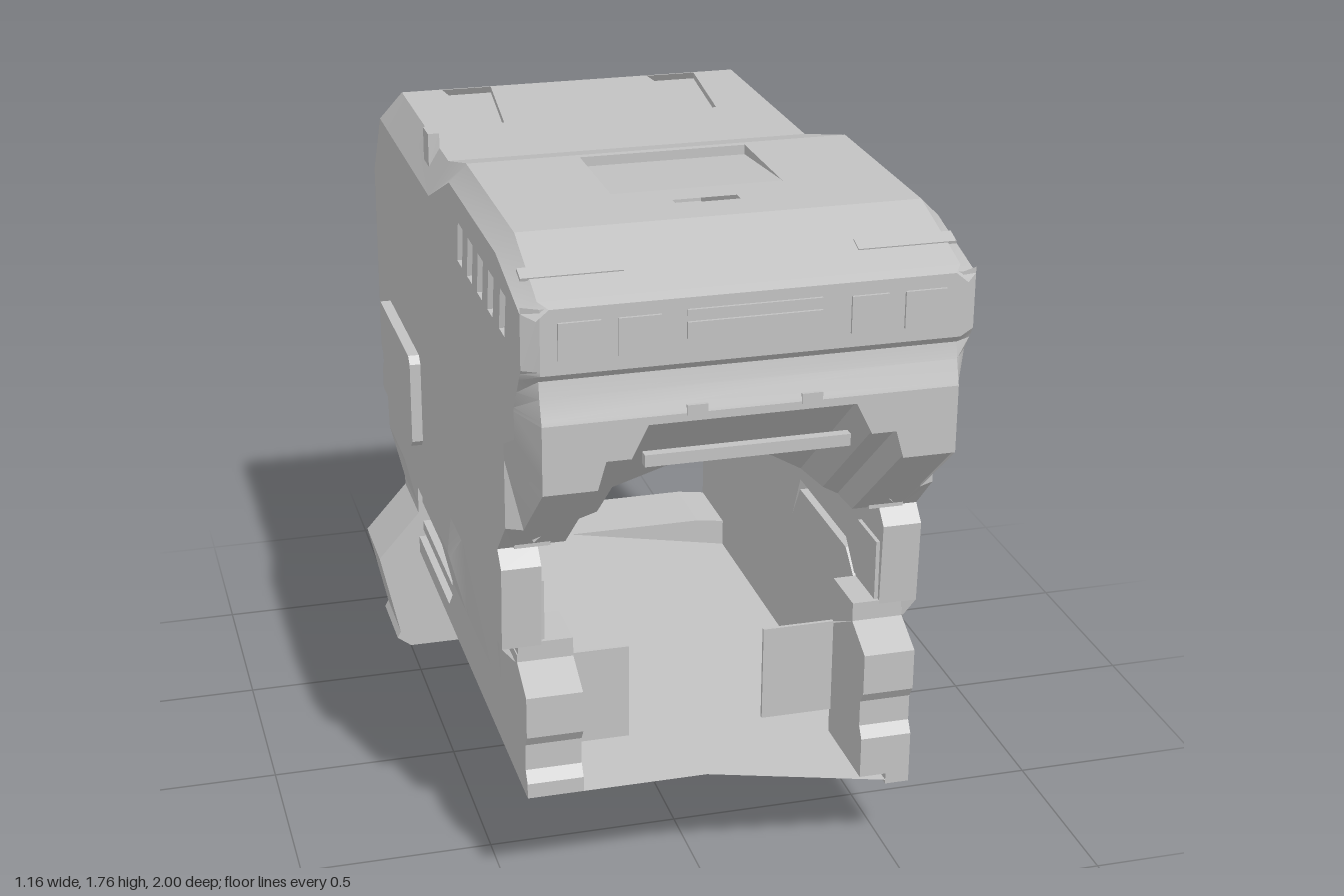
import * as THREE from 'three';
import { toCreasedNormals } from 'three/addons/utils/BufferGeometryUtils.js';

const CX = 0.04; // the body is symmetric about this x

export function createModel() {
  const model = new THREE.Group();
  const grey = new THREE.MeshStandardMaterial({ color: 0xc2c2c2, side: THREE.DoubleSide });

  const add = (name, geo) => {
    const mesh = new THREE.Mesh(geo, grey);
    mesh.name = name;
    model.add(mesh);
    return mesh;
  };
  const box = (name, x0, x1, y0, y1, z0, z1) =>
    add(name, new THREE.BoxGeometry(x1 - x0, y1 - y0, z1 - z0)
      .translate((x0 + x1) / 2, (y0 + y1) / 2, (z0 + z1) / 2));
  const shapeOf = (pts, holes = []) => {
    const s = new THREE.Shape(pts.map(p => new THREE.Vector2(...p)));
    s.holes = holes.map(h => new THREE.Path(h.map(p => new THREE.Vector2(...p))));
    return s;
  };
  // plate drawn as [x, y], from z0 to z1
  const plateXY = (pts, z0, z1) =>
    new THREE.ExtrudeGeometry(shapeOf(pts), { depth: z1 - z0, bevelEnabled: false }).translate(0, 0, z0);
  // plate drawn as [z, y], from x0 to x1
  const plateZY = (pts, x0, x1, holes = []) => {
    const flip = list => list.map(([z, y]) => [-z, y]);
    return new THREE.ExtrudeGeometry(shapeOf(flip(pts), holes.map(flip)), { depth: x1 - x0, bevelEnabled: false })
      .rotateY(Math.PI / 2).translate(x0, 0, 0);
  };
  // surface through rows of [x, y, z]
  const loft = (rows, crease = 0.5) => {
    const n = rows[0].length, index = [];
    for (let i = 0; i < rows.length - 1; i++)
      for (let j = 0; j < n - 1; j++) {
        const a = i * n + j, b = a + n;
        index.push(a, b, a + 1, a + 1, b, b + 1);
      }
    const g = new THREE.BufferGeometry();
    g.setAttribute('position', new THREE.Float32BufferAttribute(rows.flat(2), 3));
    g.setIndex(index);
    return toCreasedNormals(g, crease);
  };
  const rect = (a, b, c, d) => [[a, c], [b, c], [b, d], [a, d]];

  // Roof: [z, edge y, top y, chamfer width]
  const roof = [
    [1, 1.645, 1.67, 0.03], [0.97, 1.655, 1.68, 0.04], [0.72, 1.715, 1.76, 0.045], [0.17, 1.715, 1.76, 0.05],
    [-0.12, 1.59, 1.68, 0.055], [-0.8, 1.59, 1.68, 0.055], [-0.864, 1.59, 1.59, 0.005], [-1, 1.4, 1.4, 0],
  ];
  const half = z => (z === 1 ? 0.51 : 0.54);
  const groove = x => [[x - 0.07, 0.8], [x + 0.07, 0.8], [x + 0.03, 0.43], [x - 0.03, 0.43]];
  const cutouts = {
    2: [rect(-0.17, 0.26, -0.5, -0.19), rect(-0.04, 0.12, -0.61, -0.58)],
    4: [groove(-0.26), groove(0.34)].map(g => g.map(([x, v]) => [x, Math.min(v, 0.795)])),
  };
  for (let i = 0; i < roof.length - 1; i++) {
    const [a, b] = [roof[i], roof[i + 1]];
    const tops = [a, b].map(([z, , y, w]) => [[CX - half(z) + w, y, z], [CX + half(z) - w, y, z]]);
    if (cutouts[i]) {
      const [x0, x1] = [tops[0][0][0], tops[0][1][0]];
      add('roofPanel', new THREE.ShapeGeometry(shapeOf(rect(x0, x1, -a[0], -b[0]), cutouts[i]))
        .rotateX(-Math.PI / 2).translate(0, a[2], 0));
    } else add('roofPanel', loft(tops));
  }
  for (const s of [-1, 1])
    add('roofChamfer', loft(roof.map(([z, e, t, w]) =>
      [[CX + s * half(z), e, z], [CX + s * (half(z) - w), t, z]])));

  // Sunken roof details
  add('hatchFloor', loft([
    [[-0.17, 1.76, 0.19], [0.26, 1.76, 0.19]], [[-0.17, 1.735, 0.19], [0.26, 1.735, 0.19]],
    [[-0.17, 1.76, 0.5], [0.26, 1.76, 0.5]]]));
  box('roofSlot', -0.04, 0.12, 1.74, 1.75, 0.58, 0.61);
  for (const x of [-0.26, 0.34])
    add('roofGroove', loft([[0.07, -0.795], [0.03, -0.43]].map(([w, z]) =>
      [[x - w, 1.68, z], [x - w, 1.663, z], [x + w, 1.663, z], [x + w, 1.68, z]])));
  for (const s of [-1, 1]) {
    const slot = add('noseSlot', new THREE.BoxGeometry(0.24, 0.008, 0.04));
    slot.position.set(CX + s * 0.4, 1.711, 0.87);
    slot.rotation.x = 0.31;
  }
  box('roofKnob', -0.475, -0.445, 1.63, 1.72, -0.31, -0.24);

  // Upper side walls
  const upperSide = [
    [0.97, 1.655], [0.72, 1.715], [0.17, 1.715], [-0.12, 1.59], [-0.864, 1.59], [-1, 1.4], [-1, 0.85],
    [-0.93, 0.8], [-0.905, 0.62], [0, 0.62], [0.06, 0.75], [0.44, 0.75], [0.51, 0.68], [0.7, 0.68], [0.71, 0.9],
    [0.67, 0.94], [0.77, 1.04], [0.77, 1.26], [0.89, 1.32], [0.89, 1.4], [0.97, 1.52],
  ];
  const vents = [0.29, 0.41, 0.53, 0.65, 0.78].map(z =>
    [[z - 0.035, 1.54], [z + 0.025, 1.54], [z + 0.045, 1.645], [z - 0.015, 1.645]]);
  add('rightUpperWall', plateZY(upperSide, 0.48, 0.58));
  add('leftUpperWall', plateZY(upperSide, -0.5, -0.4, vents));
  box('ventBacking', -0.47, -0.46, 1.5, 1.66, 0.22, 0.87);

  // Lower side walls
  const lowerSide = [[-0.88, 0.44], [-0.905, 0.62], [0, 0.62], [0.06, 0.72], [0.44, 0.72], [0.51, 0.66],
    [0.7, 0.66], [0.7, 0.64], [0.8, 0.59], [0.8, 0.48], [0.78, 0.45], [0.78, 0.38], [0.8, 0.35]];
  add('rightLowerWall', plateZY([...lowerSide, [0.8, 0.21], [-0.66, 0.21], [-0.66, 0], [-0.88, 0]], 0.48, 0.543));
  add('leftLowerWall', plateZY([...lowerSide, [0.8, 0.31], [-0.88, 0.31]], -0.463, -0.4,
    [[[-0.66, 0.36], [-0.2, 0.36], [-0.14, 0.42], [-0.14, 0.57], [-0.17, 0.6], [-0.66, 0.6]]]));
  box('sideWindowBar', -0.45, -0.4, 0.38, 0.41, -0.66, -0.18);
  box('sideWindowBar', -0.45, -0.4, 0.47, 0.5, -0.66, -0.14);

  // Stepped ledge joining upper and lower walls: [z, top y, bottom y, inset at bottom]
  const ledge = [[0.7, 0.68, 0.64, 0.034], [0.51, 0.68, 0.64, 0.034], [0.44, 0.75, 0.69, 0.034],
    [0.06, 0.75, 0.69, 0.034], [0, 0.62, 0.6, 0.005], [-0.14, 0.62, 0.6, 0.005],
    [-0.66, 0.62, 0.6, 0.005], [-0.905, 0.62, 0.6, 0.005]];
  const sideLedge = (s, rows) => add('sideLedge', loft(rows.map(([z, top, low, inset]) =>
    [[CX + s * 0.54, top, z], [CX + s * (0.54 - inset), low, z], [CX + s * 0.503, 0.46, z < -0.9 ? -0.88 : z]])));
  sideLedge(1, ledge);
  sideLedge(-1, ledge.slice(0, 6));
  sideLedge(-1, ledge.slice(6));

  add('sidePanel', plateZY([[-0.8, 0.79], [-0.35, 0.79], [-0.33, 0.81], [-0.33, 1.04], [-0.35, 1.06],
    [-0.8, 1.06], [-0.8, 0.98], [-0.78, 0.95], [-0.78, 0.88], [-0.8, 0.85]], -0.53, -0.39));

  // Front fascia: [y, front z, side z]
  const fascia = [[1.67, 0.993, 0.97], [1.52, 0.993, 0.97], [1.51, 0.993, 0.963], [1.49, 0.972, 0.95],
    [1.45, 0.98, 0.923], [1.4, 0.997, 0.89], [1.39, 1, 0.89]];
  add('fascia', loft(fascia.map(([y, f, s]) =>
    [[CX - 0.54, y, s], [CX - 0.5, y, f], [CX + 0.5, y, f], [CX + 0.54, y, s]])));
  const cheek = [[1.39, 1, 0.89], [1.32, 1, 0.89], [1.26, 1, 0.77], [1.22, 1, 0.77], [1.04, 0.79, 0.77], [0.94, 0.67, 0.66]];
  for (const s of [-1, 1])
    add('cheek', loft(cheek.map(([y, f, z]) => [[CX + s * 0.5, y, f], [CX + s * 0.54, y, z]])));

  // Ribbed arch sweeping back and down under the nose: half outline as [x, front y, rear y]
  const halfArch = [[0.5, 1.22, 0.94], [0.37, 1.22, 0.94], [0.35, 1.29, 0.96], [0.29, 1.29, 1.01],
    [0.25, 1.37, 1.04], [0.13, 1.37, 1.14]];
  const arch = [...halfArch.map(([x, y, v]) => [-x, y, v]), [0, 1.37, 1.205], ...[...halfArch].reverse()];
  add('frontSkirt', plateXY([[CX + 0.5, 1.39], [CX - 0.5, 1.39], ...arch.map(([x, y]) => [CX + x, y])], 0.98, 1));
  add('noseUnderside', loft([
    arch.map(([x, y]) => [CX + x, y, 0.99]),
    arch.map(([x, y, v]) => [CX + x, v, 0.99 - (y - v) * 1.15])], 0.2));
  box('archBar', -0.21, 0.29, 1.25, 1.28, 0.94, 0.965);

  // Front lamps and trim
  for (const [x0, x1] of [[-0.42, -0.32], [-0.28, -0.18], [0.27, 0.36], [0.4, 0.5]])
    box('lamp', x0, x1, 1.545, 1.635, 0.991, 1);
  add('grille', plateXY([[-0.09, 1.54], [0.17, 1.54], [0.2, 1.57], [0.2, 1.61], [-0.12, 1.61], [-0.12, 1.57]], 0.991, 1));
  box('grilleBar', -0.12, 0.2, 1.625, 1.64, 0.991, 1);
  add('brow', plateXY([[-0.12, 1.655], [0.2, 1.655], [0.23, 1.67], [-0.15, 1.67]], 0.991, 1));
  for (const x of [-0.095, 0.18]) box('clip', x - 0.025, x + 0.025, 1.385, 1.41, 0.985, 1.003);

  // Door jambs, front legs and their inner plates
  for (const s of [-1, 1]) {
    const X = r => CX + s * r;
    const jamb = (name, u, v, ...r) => box(name, Math.min(X(u), X(v)), Math.max(X(u), X(v)), ...r);
    jamb('jambTop', 0.41, 0.5, 0.94, 1.02, 0.55, 0.68);
    jamb('jambStep', 0.43, 0.5, 0.69, 0.85, 0.55, 0.69);
    const foot = s < 0 ? 0.31 : 0.24;
    const leg = [[0.55, foot], [0.55, 0.69], [0.7, 0.69], [0.7, 0.64], [0.8, 0.59], [0.8, 0.48], [0.78, 0.45],
      [0.78, 0.38], [0.8, 0.35], [0.8, foot]];
    add('frontLeg', plateZY(leg, s < 0 ? -0.46 : 0.41, s < 0 ? -0.32 : 0.54));
    add('legPlate', plateXY([[X(0.18), 0.31], [X(0.37), 0.31], [X(0.37), 0.57], [X(0.18), 0.57]], 0.55, 0.56));
    add('legGusset', loft([[[X(0.37), 0.57, 0.56], [X(0.18), 0.57, 0.56]],
      [[X(0.37), 0.64, 0.7], [X(0.365), 0.64, 0.7]]]));
  }

  // Floor, ceiling with sloped shoulders, rear lintel and rear sill
  add('floor', loft([0.8, -0.66].map(z => [[0.54, 0.21, z], [0, 0.31, z], [-0.4, 0.31, z]])));
  add('rearCeiling', loft([-0.99, -0.65].map(z => [[-0.42, 1.24, z], [0.5, 1.24, z]])));
  add('ceiling', loft([-0.65, 0.72].map(z =>
    [[-0.42, 0.97, z], [-0.12, 1.24, z], [0.2, 1.24, z], [0.5, 0.97, z]])));
  add('rearLintel', plateXY([[-0.42, 1.4], [0.5, 1.4], [0.5, 1.12], [0.44, 1.23], [-0.36, 1.23], [-0.42, 1.12]], -1, -0.94));
  add('rearSill', plateXY([[-0.5, 0], [0.54, 0], [0.54, 0.29], [0.4, 0.31], [-0.4, 0.31], [-0.46, 0.44],
    [-0.585, 0.3], [-0.53, 0.05], [-0.54, 0.03]], -0.88, -0.66));

  return model;
}
